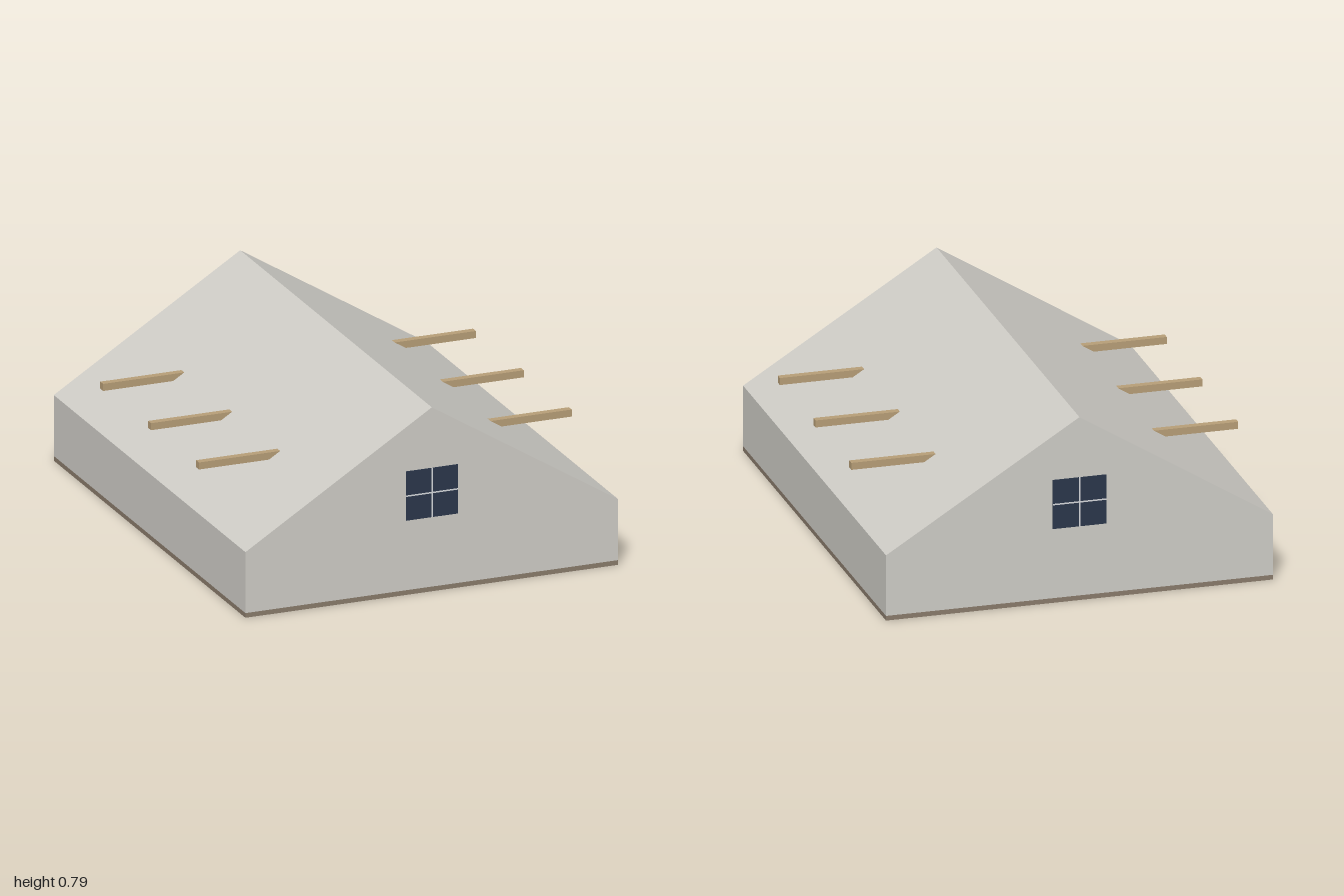
import * as THREE from 'three';

const W = 0.81, EAVE = 0.28, RIDGE = 0.785, L = 1, FLOOR = 0.02;
const PITCH = Math.atan2(RIDGE - EAVE, W);

const material = (color, side = THREE.FrontSide) =>
  new THREE.MeshStandardMaterial({ color, side, flatShading: true });
const plaster = material(0xd0cec8, THREE.DoubleSide);
const wood = material(0xb89f78);
const boards = material(0x8a7c6c);
const glass = material(0x2b374b);
const white = material(0xd8dade);

function add(parent, name, geometry, mat, x = 0, y = 0, z = 0) {
  const mesh = new THREE.Mesh(geometry, mat);
  mesh.name = name;
  mesh.position.set(x, y, z);
  parent.add(mesh);
  return mesh;
}
const box = (x, y, z) => new THREE.BoxGeometry(x, y, z);

// Flat sheet running the full length between two profile points
function sheet([x0, y0], [x1, y1]) {
  const geometry = new THREE.BufferGeometry();
  geometry.setAttribute('position', new THREE.Float32BufferAttribute([
    x0, y0, L, x0, y0, -L, x1, y1, -L, x1, y1, L], 3));
  geometry.setIndex([0, 1, 2, 0, 2, 3]);
  geometry.computeVertexNormals();
  return geometry;
}

// Four-pane window on a gable, facing +z
function gableWindow() {
  const g = new THREE.Group();
  g.name = 'gableWindow';
  add(g, 'windowGlass', box(0.225, 0.21, 0.006), glass);
  add(g, 'verticalBar', box(0.006, 0.21, 0.008), white);
  add(g, 'horizontalBar', box(0.225, 0.006, 0.008), white);
  return g;
}

export function createModel() {
  const model = new THREE.Group();
  model.name = 'attic';

  // Floor slab with hatch opening (shape y becomes -z)
  const slab = new THREE.Shape([
    [-W, -L], [W, -L], [W, L], [-W, L]].map(p => new THREE.Vector2(...p)));
  slab.holes.push(new THREE.Path([
    [-0.205, -0.12], [-0.205, 0.52], [0.205, 0.52], [0.205, -0.12]].map(p => new THREE.Vector2(...p))));
  const floor = new THREE.ExtrudeGeometry(slab, { depth: FLOOR, bevelEnabled: false });
  add(model, 'floor', floor.rotateX(-Math.PI / 2), boards);

  // Side walls and roof slopes
  const profile = [[W, FLOOR], [W, EAVE], [0, RIDGE], [-W, EAVE], [-W, FLOOR]];
  ['leftWall', 'leftRoof', 'rightRoof', 'rightWall'].forEach((name, i) =>
    add(model, name, sheet(profile[i], profile[i + 1]), plaster));

  // Gable ends with windows
  const gable = new THREE.Shape(profile.map(p => new THREE.Vector2(...p)));
  for (const [end, s] of [['front', 1], ['back', -1]]) {
    const wall = add(model, end + 'Gable', new THREE.ShapeGeometry(gable), plaster, 0, 0, s * L);
    const win = gableWindow();
    win.position.set(0, 0.4225, s * L);
    wall.rotation.y = win.rotation.y = s > 0 ? 0 : Math.PI;
    model.add(win);
  }

  // Tie beams poking through the roof, with rafter pairs under the slopes
  const slope = Math.hypot(W, RIDGE - EAVE);
  for (const z of [-0.5, 0, 0.5]) {
    add(model, 'tieBeam', box(2 * W, 0.03, 0.03), wood, 0, 0.485, z);
    for (const s of [1, -1]) {
      const rafter = add(model, 'rafter', box(slope - 0.06, 0.025, 0.03), wood,
        s * W / 2, (EAVE + RIDGE) / 2 - 0.025, z);
      rafter.rotation.z = -s * PITCH;
    }
  }

  // Purlins along each slope
  for (const s of [1, -1]) {
    const purlin = add(model, 'purlin', box(0.03, 0.03, 2 * L - 0.02), wood, s * 0.5, 0.44, 0);
    purlin.rotation.z = -s * PITCH;
  }
  return model;
}
